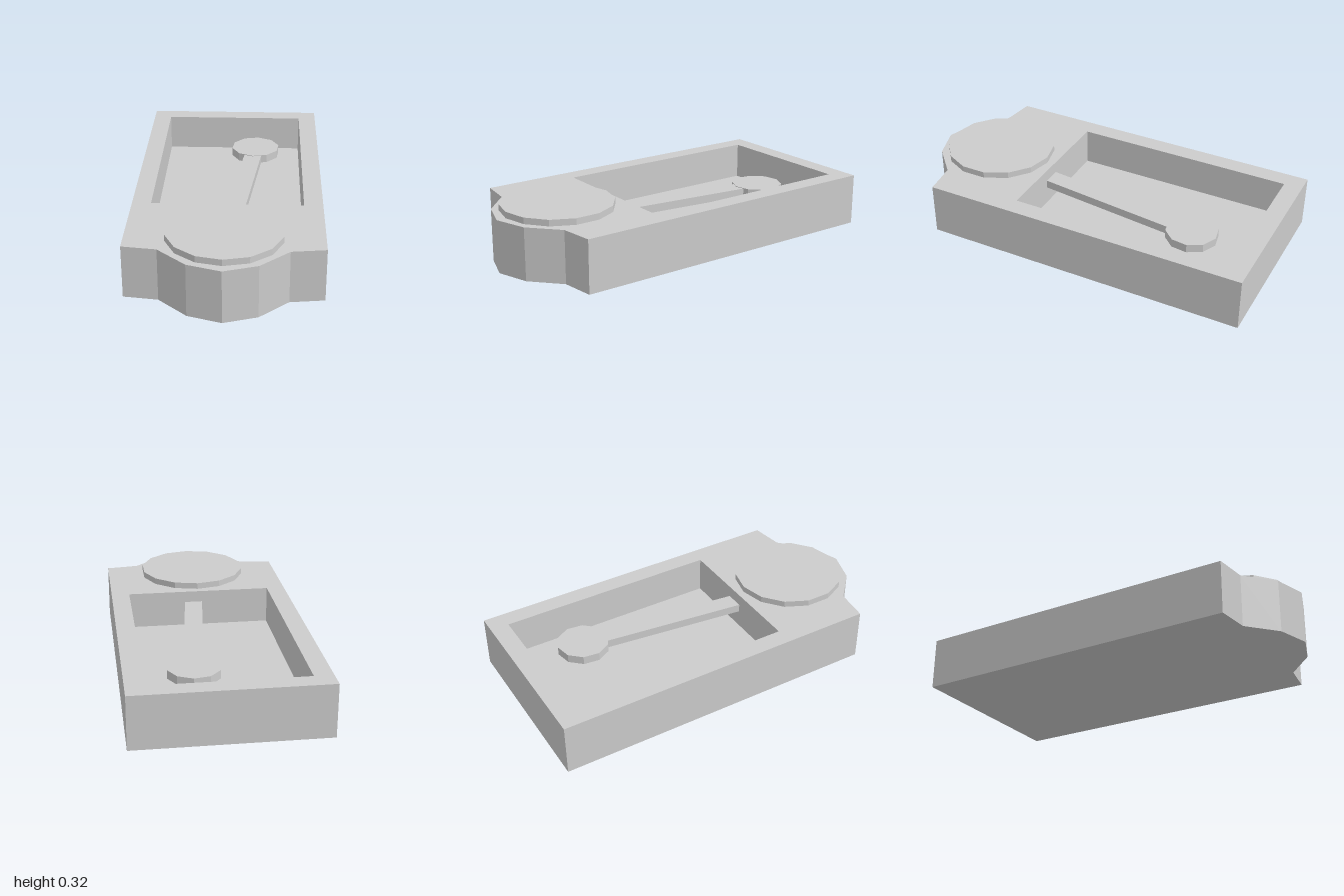
import * as THREE from 'three';

const material = new THREE.MeshStandardMaterial({ color: 0xcccccc, flatShading: true });

const shapeOf = (points) => new THREE.Shape(points.map(([x, z]) => new THREE.Vector2(x, z)));

// Extrudes an outline drawn in x,z between two heights
function slab(shape, bottom, top) {
  const geometry = new THREE.ExtrudeGeometry(shape, { depth: top - bottom, bevelEnabled: false });
  geometry.rotateX(Math.PI / 2);
  geometry.translate(0, top, 0);
  return geometry;
}

export function createModel() {
  const group = new THREE.Group();
  const add = (name, geometry, x = 0, y = 0, z = 0) => {
    const mesh = new THREE.Mesh(geometry, material);
    mesh.name = name;
    mesh.position.set(x, y, z);
    group.add(mesh);
    return mesh;
  };

  const bodyTop = 0.283, floorTop = 0.08;
  const recess = { x: 0.4, back: -0.9, front: 0.31 };

  // Body: half outline mirrored, with a faceted nose and a rectangular opening
  const half = [[0.5, -1], [0.5, 0.78], [0.322, 0.803], [0.173, 0.943]];
  const mirrored = half.map(([x, z]) => [-x, z]).reverse();
  const outline = shapeOf([...half, [0, 1], ...mirrored]);
  outline.holes.push(shapeOf([
    [-recess.x, recess.back], [-recess.x, recess.front],
    [recess.x, recess.front], [recess.x, recess.back],
  ]));
  add('body', slab(outline, 0, bodyTop));

  // Floor of the recess
  const length = recess.front - recess.back;
  add('recessFloor', new THREE.BoxGeometry(recess.x * 2, floorTop, length),
    0, floorTop / 2, (recess.front + recess.back) / 2);

  // Raised round plate over the nose
  add('roundPlate', new THREE.CylinderGeometry(0.3, 0.3, 0.034, 14), 0, bodyTop + 0.017, 0.65);

  // Slanted arm reaching from the recess wall to the knob
  const arm = shapeOf([[-0.02, 0.31], [0.08, 0.31], [0.185, -0.59], [0.085, -0.59]]);
  add('arm', slab(arm, 0.175, 0.22));

  // Ten-sided knob, turned in line with the arm
  const knob = add('knob', new THREE.CylinderGeometry(0.14, 0.14, 0.046, 10), 0.135, 0.2, -0.59);
  knob.rotation.y = -0.12;

  return group;
}
